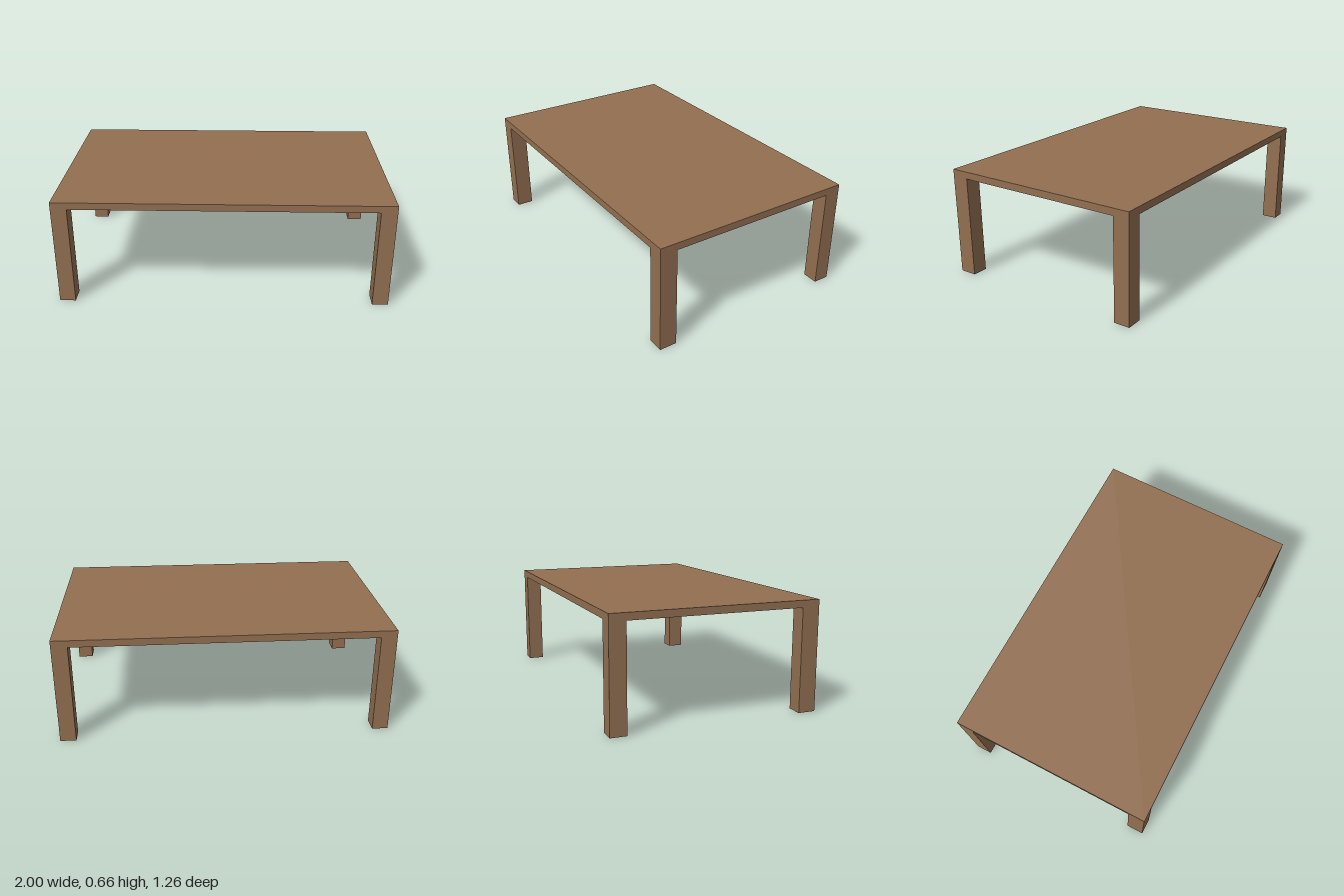
import * as THREE from 'three';

export function createModel() {
  const table = new THREE.Group();
  table.name = 'table';
  const wood = new THREE.MeshStandardMaterial({ color: 0x926f51 });
  wood.name = 'brown wood';

  const halfX = 1, halfZ = 0.628, height = 0.66, legHeight = 0.617;

  // Box given by its lower and upper corners
  function box(name, [x0, y0, z0], [x1, y1, z1]) {
    const mesh = new THREE.Mesh(new THREE.BoxGeometry(x1 - x0, y1 - y0, z1 - z0), wood);
    mesh.position.set((x0 + x1) / 2, (y0 + y1) / 2, (z0 + z1) / 2);
    mesh.name = name;
    table.add(mesh);
  }

  // Thin slab top, flush with the legs
  box('tableTop', [-halfX, legHeight, -halfZ], [halfX, height, halfZ]);

  // Corner legs; the front pair is slightly deeper
  const legWidth = 0.096, frontDepth = 0.106, backDepth = 0.098;
  for (const [side, x] of [['Left', halfX - legWidth], ['Right', -halfX]]) {
    box('front' + side + 'Leg', [x, 0, halfZ - frontDepth], [x + legWidth, legHeight, halfZ]);
    box('back' + side + 'Leg', [x, 0, -halfZ], [x + legWidth, legHeight, -halfZ + backDepth]);
  }
  return table;
}
